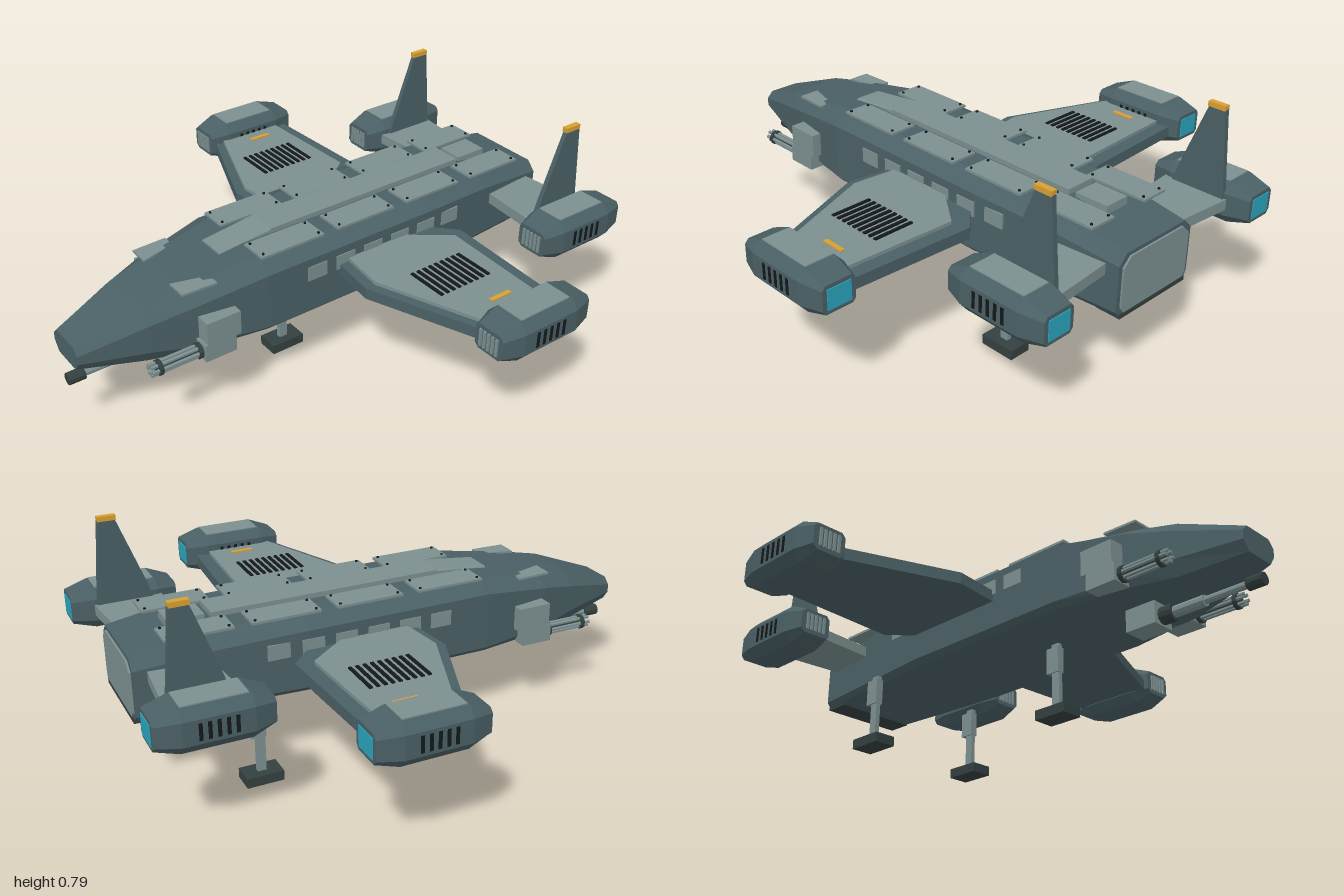
import * as THREE from 'three';

const mat = (name, color) => {
  const m = new THREE.MeshStandardMaterial({ color, flatShading: true });
  m.name = name;
  return m;
};

export function createModel() {
  const hull = mat('slate hull', 0x4a6065);
  const panel = mat('pale panel', 0x7c8f8f);
  const dark = mat('dark metal', 0x34403f);
  const black = mat('black vent', 0x14181a);
  const gold = mat('amber marking', 0xd9a032);
  const glow = mat('engine cyan', 0x2aa5bd);

  const model = new THREE.Group();
  model.name = 'dropship';

  const add = (name, geo, material, x = 0, y = 0, z = 0, parent = model) => {
    const m = new THREE.Mesh(geo, material);
    m.name = name;
    m.position.set(x, y, z);
    parent.add(m);
    return m;
  };
  // Box given by its lower and upper limits on each axis
  const box = (name, material, x0, x1, y0, y1, z0, z1, parent = model) =>
    add(name, new THREE.BoxGeometry(Math.abs(x1 - x0), y1 - y0, z1 - z0), material,
      (x0 + x1) / 2, (y0 + y1) / 2, (z0 + z1) / 2, parent);
  // Cylinder lying along z
  const rod = (name, material, x, y, z0, z1, r, sides = 10) =>
    add(name, new THREE.CylinderGeometry(r, r, z1 - z0, sides).rotateX(Math.PI / 2), material, x, y, (z0 + z1) / 2);
  // Flat slab from an outline of [x, z] points
  const slab = (name, material, pts, y, h, s = 1) => {
    const shape = new THREE.Shape(pts.map(([x, z]) => new THREE.Vector2(x * s, -z)));
    const g = new THREE.ExtrudeGeometry(shape, { depth: h, bevelEnabled: false }).rotateX(-Math.PI / 2);
    return add(name, g, material, 0, y, 0);
  };
  // Eight-sided ring: half widths at top, sides and bottom, and the four heights
  const ring = (z, t, w, b, top, shoulder, low, bottom) =>
    [[w, low], [w, shoulder], [t, top], [-t, top], [-w, shoulder], [-w, low], [-b, bottom], [b, bottom]]
      .map(([x, y]) => [x, y, z]);
  // Skin rings running from back to front, closing both ends
  const loft = (rings) => {
    const v = [];
    const n = rings[0].length;
    for (let i = 0; i < rings.length - 1; i++) {
      for (let j = 0; j < n; j++) {
        const k = (j + 1) % n;
        const [a, b, c, d] = [rings[i][j], rings[i][k], rings[i + 1][k], rings[i + 1][j]];
        v.push(...a, ...b, ...c, ...a, ...c, ...d);
      }
    }
    const back = rings[0], front = rings[rings.length - 1];
    for (let j = 1; j < n - 1; j++) {
      v.push(...back[0], ...back[j + 1], ...back[j], ...front[0], ...front[j], ...front[j + 1]);
    }
    const g = new THREE.BufferGeometry();
    g.setAttribute('position', new THREE.Float32BufferAttribute(v, 3));
    g.computeVertexNormals();
    return g;
  };

  // Fuselage
  add('fuselage', loft([
    ring(-0.95, 0.145, 0.18, 0.165, 0.5, 0.465, 0.3, 0.28),
    ring(-0.66, 0.15, 0.205, 0.19, 0.545, 0.495, 0.3, 0.28),
    ring(-0.36, 0.155, 0.23, 0.21, 0.547, 0.51, 0.3, 0.28),
    ring(0.34, 0.155, 0.23, 0.21, 0.547, 0.51, 0.3, 0.28),
    ring(0.62, 0.12, 0.185, 0.165, 0.508, 0.465, 0.31, 0.28),
    ring(0.76, 0.1, 0.15, 0.12, 0.482, 0.435, 0.33, 0.28),
    ring(0.99, 0.06, 0.085, 0.06, 0.4, 0.375, 0.345, 0.31),
  ]), hull);
  add('rearHatch', loft([
    ring(-0.957, 0.13, 0.163, 0.15, 0.487, 0.455, 0.31, 0.292),
    ring(-0.95, 0.13, 0.163, 0.15, 0.487, 0.455, 0.31, 0.292),
  ]), panel);
  box('rearSill', dark, -0.165, 0.165, 0.272, 0.288, -0.955, -0.86);

  // Spine along the roof
  box('spine', panel, -0.06, 0.06, 0.535, 0.565, -0.64, 0.22);
  add('spineNose', loft([
    ring(0.22, 0.055, 0.06, 0.06, 0.565, 0.56, 0.53, 0.52),
    ring(0.43, 0.05, 0.055, 0.055, 0.542, 0.538, 0.52, 0.51),
  ]), panel);
  box('spineHatch', panel, -0.05, 0.05, 0.53, 0.56, -0.79, -0.66);

  for (const s of [1, -1]) {
    const side = s > 0 ? 'left' : 'right';

    // Riveted roof plates
    for (const [z0, z1] of [[-0.84, -0.6], [-0.54, -0.29], [-0.23, 0.02], [0.08, 0.34]]) {
      box(side + 'RoofPlate', panel, s * 0.075, s * 0.182, 0.546, 0.555, z0, z1);
      for (const x of [0.088, 0.168]) {
        for (const z of [z0 + 0.015, z1 - 0.015]) {
          add(side + 'Rivet', new THREE.CylinderGeometry(0.005, 0.005, 0.006, 6), black, s * x, 0.557, z);
        }
      }
    }
    slab(side + 'BrowPlate', panel, [[0.12, 0.51], [0.17, 0.51], [0.165, 0.64], [0.085, 0.64]], 0.511, 0.008, s);

    // Side windows follow the hull as it narrows
    for (let i = 0; i < 6; i++) {
      const z = 0.145 - i * 0.122;
      const x = 0.23 - Math.max(0, -0.36 - z) * 0.083;
      box(side + 'SideWindow', panel, s * (x - 0.005), s * (x + 0.004), 0.425, 0.48, z - 0.04, z + 0.04);
    }

    // Main wing with top panel, vent slats and marking
    slab(side + 'Wing', hull,
      [[0.2, -0.34], [0.31, -0.445], [0.79, -0.42], [0.79, -0.085], [0.4, 0.068], [0.2, 0.045]], 0.4, 0.042, s);
    slab(side + 'WingPanel', panel,
      [[0.22, -0.23], [0.34, -0.39], [0.78, -0.37], [0.78, -0.115], [0.4, 0.03], [0.22, 0.01]], 0.442, 0.013, s);
    for (let i = 0; i < 9; i++) {
      const z = -0.31 + i * 0.0262;
      box(side + 'WingVent', black, s * 0.44, s * 0.598, 0.452, 0.46, z - 0.006, z + 0.006);
    }
    box(side + 'WingMarking', gold, s * 0.705, s * 0.722, 0.452, 0.46, -0.295, -0.208);

    // Tail wing
    slab(side + 'TailWing', panel, [[0.16, -0.9], [0.45, -0.925], [0.45, -0.67], [0.16, -0.695]], 0.42, 0.04, s);

    // Tail fin with amber tip
    const fin = new THREE.Shape([[-0.7, 0.44], [-0.73, 0.53], [-0.822, 0.775], [-0.885, 0.775], [-0.915, 0.44]]
      .map(([z, y]) => new THREE.Vector2(z, y)));
    add(side + 'Fin', new THREE.ExtrudeGeometry(fin, { depth: 0.018, bevelEnabled: false })
      .rotateY(-Math.PI / 2), hull, s * 0.42 + 0.009);
    box(side + 'FinTip', gold, s * 0.409, s * 0.431, 0.772, 0.79, -0.885, -0.818);

    // Engine pods, one at each wing end
    for (const [name, px, pz] of [['WingPod', 0.855, -0.257], ['TailPod', 0.505, -0.802]]) {
      const pod = new THREE.Group();
      pod.name = side + name;
      pod.position.set(s * px, 0.437, pz);
      model.add(pod);
      add('podBody', loft([
        ring(-0.197, 0.05, 0.062, 0.05, 0.05, 0.035, -0.035, -0.05),
        ring(-0.115, 0.056, 0.086, 0.056, 0.075, 0.042, -0.04, -0.075),
        ring(0.115, 0.056, 0.086, 0.056, 0.075, 0.042, -0.04, -0.075),
        ring(0.19, 0.048, 0.062, 0.045, 0.045, 0.03, -0.035, -0.05),
      ]), hull, 0, 0, 0, pod);
      box('podTopPlate', panel, -0.052, 0.052, 0.07, 0.079, -0.108, 0.108, pod);
      box('podExhaust', glow, -0.045, 0.045, -0.036, 0.036, -0.2, -0.196, pod);
      for (let i = -2; i <= 2; i++) {
        box('podIntakeBar', panel, i * 0.018 - 0.005, i * 0.018 + 0.005, -0.035, 0.03, 0.186, 0.196, pod);
        for (const f of [1, -1]) {
          box('podSideVent', black, f * 0.082, f * 0.088, -0.028, 0.03, i * 0.029 - 0.006, i * 0.029 + 0.006, pod);
        }
      }
    }

    // Side gun: cheek housing, mount and a ring of barrels
    box(side + 'GunHousing', panel, s * 0.16, s * 0.245, 0.34, 0.43, 0.47, 0.6);
    box(side + 'GunMount', panel, s * 0.17, s * 0.245, 0.28, 0.345, 0.49, 0.61);
    for (let i = 0; i < 6; i++) {
      const a = i * Math.PI / 3;
      rod(side + 'GunBarrel', panel, s * 0.207 + Math.cos(a) * 0.018, 0.31 + Math.sin(a) * 0.018, 0.6, 0.8, 0.007, 6);
    }
    rod(side + 'GunCore', dark, s * 0.207, 0.31, 0.6, 0.78, 0.01, 8);
    rod(side + 'GunCollar', dark, s * 0.207, 0.31, 0.605, 0.625, 0.029);
    rod(side + 'GunMuzzleRing', dark, s * 0.207, 0.31, 0.76, 0.775, 0.028);
  }

  // Chin turret
  box('chinTurret', panel, -0.045, 0.045, 0.2, 0.285, 0.49, 0.61);
  rod('chinCollar', dark, 0, 0.236, 0.61, 0.66, 0.031, 12);
  rod('chinSleeve', panel, 0, 0.236, 0.66, 0.78, 0.02);
  rod('chinBarrel', panel, 0, 0.236, 0.78, 0.95, 0.013);
  rod('chinMuzzle', dark, 0, 0.236, 0.94, 1.0, 0.022);

  // Landing legs
  for (const [name, x, z] of [['frontLeg', 0, 0.14], ['leftRearLeg', 0.245, -0.555], ['rightRearLeg', -0.245, -0.555]]) {
    const leg = new THREE.Group();
    leg.name = name;
    leg.position.set(x, 0, z);
    model.add(leg);
    box('strut', panel, -0.009, 0.009, 0.03, 0.28, -0.016, 0.016, leg);
    box('sleeve', panel, -0.015, 0.015, 0.17, 0.265, -0.036, 0.018, leg);
    box('foot', dark, -0.042, 0.042, 0, 0.036, -0.067, 0.067, leg);
  }
  return model;
}
